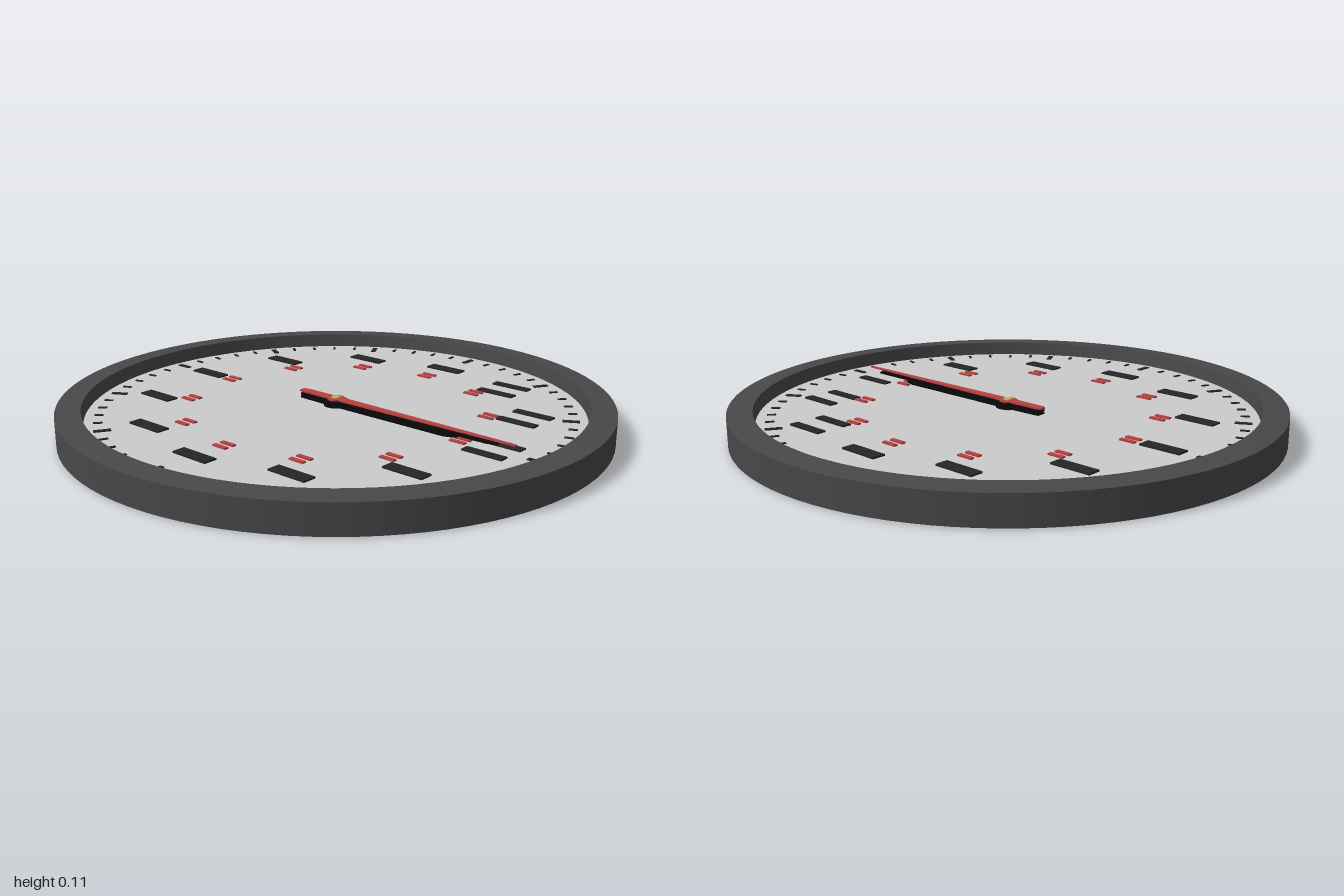
import * as THREE from 'three';

const FACE_Y = 0.06;
const material = (color) => new THREE.MeshStandardMaterial({ color });

export function createModel() {
  const clock = new THREE.Group();
  clock.name = 'wallClock';
  const frameMat = material(0x484848);
  const faceMat = material(0xcccccc);
  const inkMat = material(0x262626);
  const handMat = material(0x080808);
  const redMat = material(0xb84040);
  const brassMat = material(0xc8b45a);

  const add = (parent, name, geometry, mat, x = 0, y = 0, z = 0) => {
    const mesh = new THREE.Mesh(geometry, mat);
    mesh.name = name;
    mesh.position.set(x, y, z);
    parent.add(mesh);
    return mesh;
  };
  const group = (name) => {
    const g = new THREE.Group();
    g.name = name;
    clock.add(g);
    return g;
  };

  // Frame: each stretch of the profile is its own lathe, so the edges stay sharp
  const profile = [[0, 0], [1, 0.003], [1, 0.107], [0.91, 0.112], [0.905, FACE_Y]];
  const names = ['back', 'outerWall', 'rim', 'innerWall'];
  const frame = group('frame');
  names.forEach((name, i) => {
    const points = [profile[i], profile[i + 1]].map(([r, y]) => new THREE.Vector2(r, y));
    add(frame, name, new THREE.LatheGeometry(points, 96), frameMat);
  });

  // Dial plate
  const dial = new THREE.CircleGeometry(0.906, 96).rotateX(-Math.PI / 2);
  add(clock, 'dial', dial, faceMat, 0, FACE_Y, 0);

  // Minute and hour ticks around the dial
  const ticks = group('ticks');
  for (let i = 0; i < 60; i++) {
    const hour = i % 5 === 0;
    const a = (i / 60) * Math.PI * 2;
    const r = hour ? 0.845 : 0.855;
    const geometry = new THREE.BoxGeometry(hour ? 0.018 : 0.01, 0.004, hour ? 0.06 : 0.032);
    const tick = add(ticks, hour ? 'hourTick' : 'minuteTick', geometry, inkMat,
      -Math.sin(a) * r, FACE_Y + 0.002, Math.cos(a) * r);
    tick.rotation.y = -a;
  }

  // Plain hour markers: one bar up to nine, a pair from ten on; red pairs inside
  const markers = group('hourMarkers');
  const bars = (name, count, gap, w, h, mat, x, z) => {
    for (let k = 0; k < count; k++) {
      const offset = (k - (count - 1) / 2) * gap;
      add(markers, name, new THREE.BoxGeometry(w, 0.006, h), mat, x + offset, FACE_Y + 0.003, z);
    }
  };
  for (let h = 1; h <= 12; h++) {
    const a = (h / 12) * Math.PI * 2;
    const x = -Math.sin(a), z = Math.cos(a);
    bars('outerMarker', h < 10 ? 1 : 2, 0.11, h < 10 ? 0.05 : 0.035, 0.155, inkMat, x * 0.685, z * 0.685);
    bars('innerMarker', 2, 0.035, 0.016, 0.06, redMat, x * 0.555, z * 0.555);
  }

  // Hands: tapered outline (half width, z), mirrored across the long axis
  const hand = (name, outline, hubRadius, thickness, y, mat) => {
    const g = group(name);
    const shape = new THREE.Shape();
    outline.forEach(([w, z], i) => (i ? shape.lineTo(w, z) : shape.moveTo(w, z)));
    [...outline].reverse().forEach(([w, z]) => shape.lineTo(-w, z));
    shape.closePath();
    const blade = new THREE.ExtrudeGeometry(shape, { depth: thickness, bevelEnabled: false });
    blade.rotateX(Math.PI / 2);
    add(g, 'blade', blade, mat, 0, y + thickness, 0);
    const hub = new THREE.CylinderGeometry(hubRadius, hubRadius, thickness, 32);
    add(g, 'hub', hub, mat, 0, y + thickness / 2, 0);
  };
  hand('hourHand', [[0.018, -0.16], [0.024, 0], [0.024, 0.5], [0.008, 0.54]], 0.045, 0.008, 0.07, handMat);
  hand('minuteHand', [[0.018, -0.16], [0.024, 0], [0.016, 0.66], [0.006, 0.7]], 0.045, 0.008, 0.081, handMat);
  hand('secondHand', [[0.011, -0.17], [0.017, -0.155], [0.018, 0], [0.004, 0.77]], 0.032, 0.006, 0.092, redMat);

  // Spindle through the hands, with a brass cap
  add(clock, 'spindle', new THREE.CylinderGeometry(0.016, 0.016, 0.042, 24), brassMat, 0, 0.081, 0);

  return clock;
}
